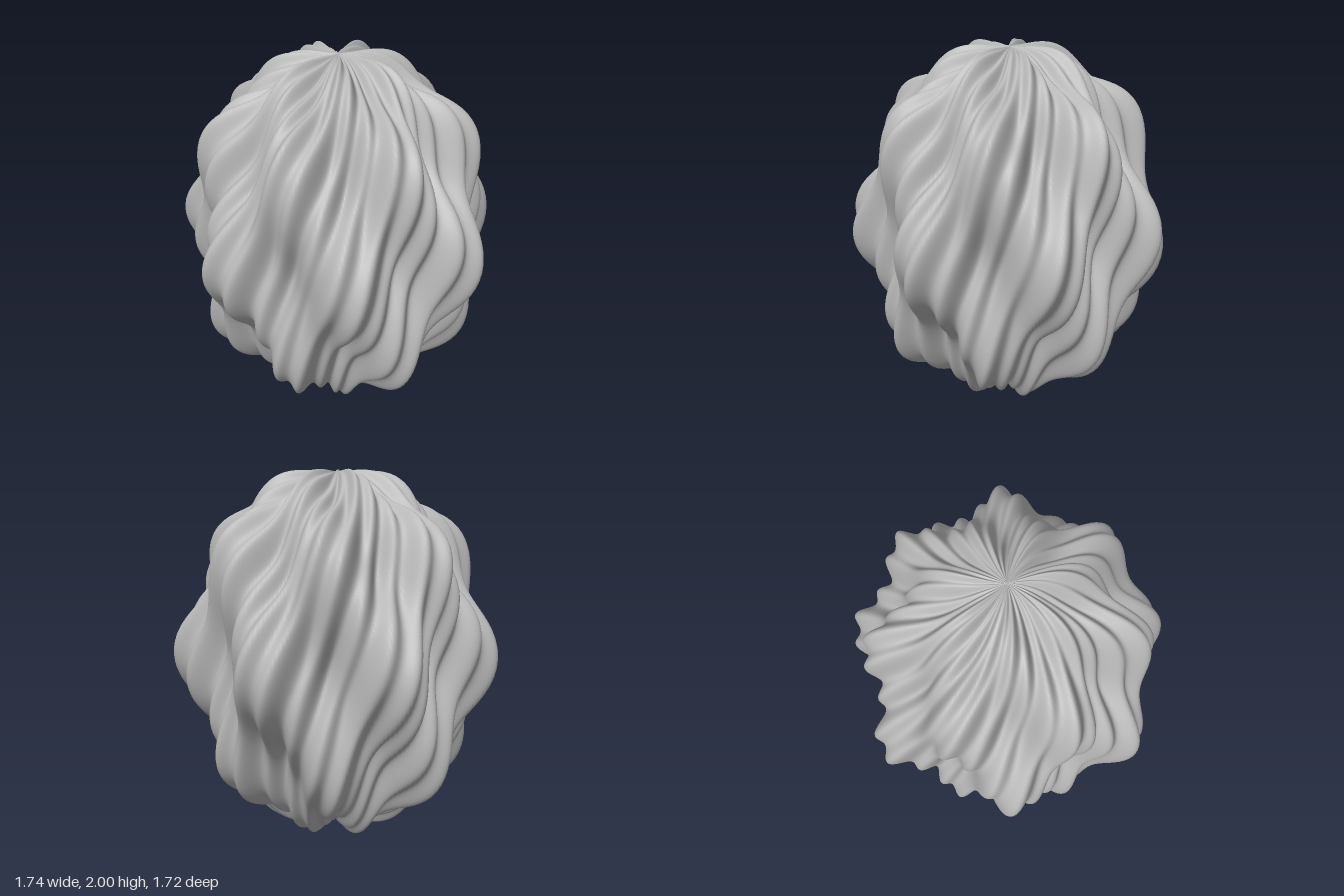
import * as THREE from 'three';
import { mergeVertices } from 'three/addons/utils/BufferGeometryUtils.js';

const LOBES = 7;      // broad swells around the axis
const RIDGES = 30;    // fine spiralling ribs
const HALF_WIDTH = 0.758;
const HALF_HEIGHT = 0.987;

// Relative swelling at a polar angle (from +y) and an azimuth (from +x to +z)
function swelling(polar, azimuth) {
  const lobe = 0.152 * Math.cos(LOBES * (azimuth - Math.PI / 2)) * Math.sin(5 * polar);
  const latitude = Math.PI / 2 - polar;
  const ridge = 0.036 * Math.cos(RIDGES * (azimuth + 0.4 * latitude) - (2 * Math.PI) / 3);
  return 1 + Math.sin(polar) * (lobe + ridge); // calm at the poles
}

export function createModel() {
  const grey = new THREE.MeshStandardMaterial({ color: 0xb8b8b8 });
  grey.name = 'plain grey';

  // An upright ellipsoid pushed in and out by the swelling rule
  let geometry = new THREE.SphereGeometry(1, 400, 170);
  const pos = geometry.attributes.position;
  const v = new THREE.Vector3();
  for (let i = 0; i < pos.count; i++) {
    v.fromBufferAttribute(pos, i);
    const polar = Math.acos(THREE.MathUtils.clamp(v.y, -1, 1));
    v.multiplyScalar(swelling(polar, Math.atan2(v.z, v.x)));
    pos.setXYZ(i, v.x * HALF_WIDTH, v.y * HALF_HEIGHT, v.z * HALF_WIDTH);
  }

  // Weld the seam so the shading runs smoothly around
  geometry.deleteAttribute('uv');
  geometry.deleteAttribute('normal');
  geometry = mergeVertices(geometry, 1e-5);

  // Centre it and stand it on the ground
  geometry.computeBoundingBox();
  const box = geometry.boundingBox;
  const mid = box.getCenter(new THREE.Vector3());
  geometry.translate(-mid.x, -box.min.y, -mid.z);
  geometry.computeVertexNormals();

  const body = new THREE.Mesh(geometry, grey);
  body.name = 'rippledBody';
  const group = new THREE.Group();
  group.name = 'rippledOrnament';
  group.add(body);
  return group;
}
